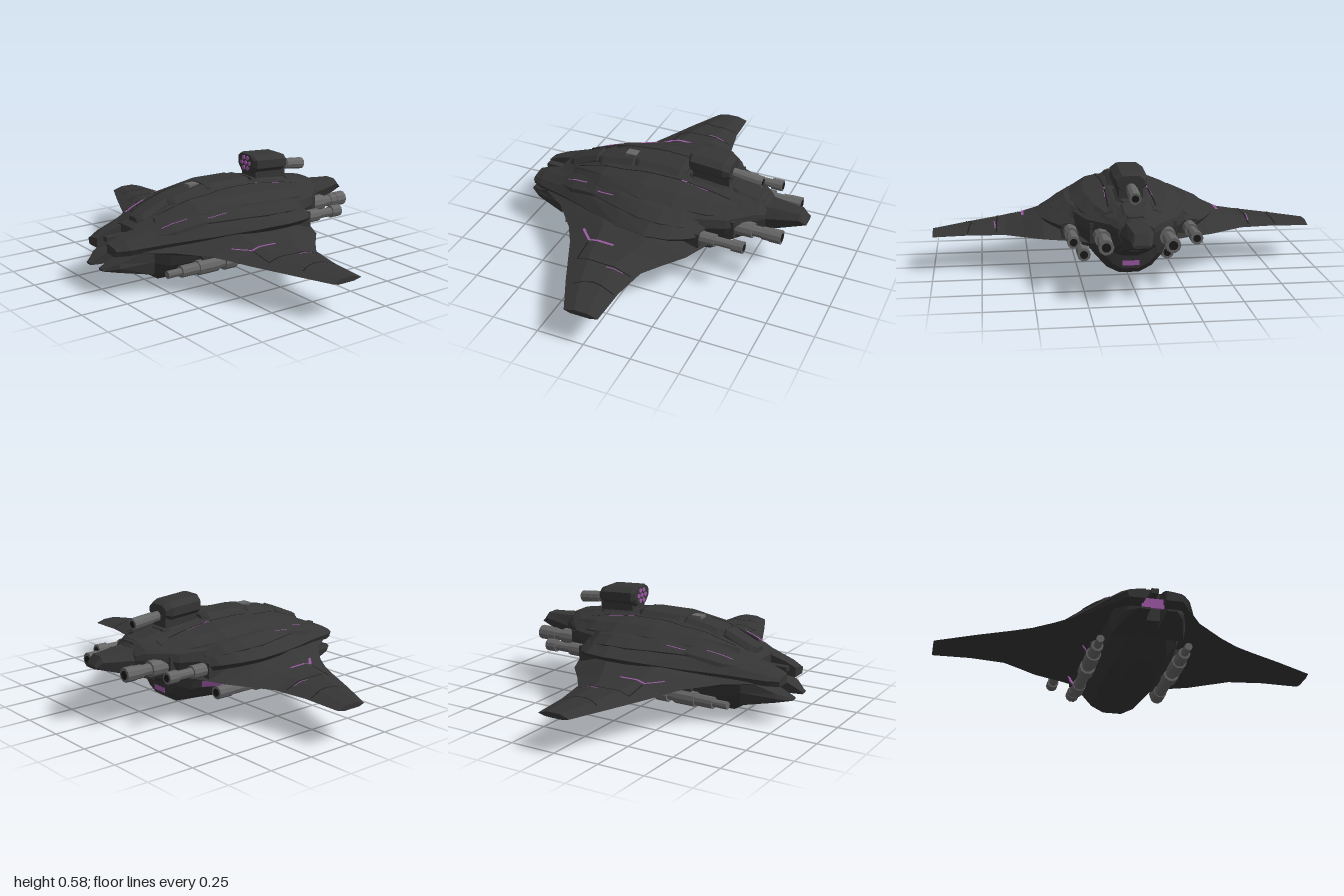
import * as THREE from 'three';

const mat = (name, color, side = THREE.FrontSide) => {
  const m = new THREE.MeshStandardMaterial({ color, side, flatShading: true });
  m.name = name;
  return m;
};

const geometryFrom = points => {
  const g = new THREE.BufferGeometry();
  g.setAttribute('position', new THREE.Float32BufferAttribute(points.flat(), 3));
  g.computeVertexNormals();
  return g;
};

// Skin between equal-length rings, capped at both ends and always facing outward
function loft(rings) {
  const tris = [], n = rings[0].length, last = rings[rings.length - 1];
  for (let i = 0; i < rings.length - 1; i++) {
    for (let j = 0; j < n; j++) {
      const k = (j + 1) % n, a = rings[i], b = rings[i + 1];
      tris.push([a[j], a[k], b[k]], [a[j], b[k], b[j]]);
    }
  }
  for (let j = 1; j < n - 1; j++) {
    tris.push([rings[0][0], rings[0][j + 1], rings[0][j]], [last[0], last[j], last[j + 1]]);
  }
  let volume = 0;
  for (const [a, b, c] of tris) {
    volume += a[0] * (b[1] * c[2] - b[2] * c[1]) + a[1] * (b[2] * c[0] - b[0] * c[2]) + a[2] * (b[0] * c[1] - b[1] * c[0]);
  }
  return geometryFrom(tris.flatMap(t => (volume > 0 ? t : [t[0], t[2], t[1]])));
}

// Half a cross-section of [z, y] points, mirrored into a ring at x
const mirrorRing = (x, half) => [
  ...half.map(([z, y]) => [x, y, z]),
  ...half.slice().reverse().map(([z, y]) => [x, y, -z]),
];

export function createModel() {
  const group = new THREE.Group();
  group.name = 'starship';
  const hull = mat('charcoal hull', 0x353535);
  const dark = mat('black trim', 0x1a1a1a, THREE.DoubleSide);
  const steel = mat('gunmetal', 0x666666);
  const glow = mat('violet glow', 0x9c58a4, THREE.DoubleSide);

  const add = (name, geo, material, parent = group) => {
    const m = new THREE.Mesh(geo, material);
    m.name = name;
    parent.add(m);
    return m;
  };
  const box = (name, w, h, d, x, y, z, material) => {
    const m = add(name, new THREE.BoxGeometry(w, h, d), material);
    m.position.set(x, y, z);
    return m;
  };

  // Upper hull: x, half width, top, bottom
  add('upperHull', loft([
    [-0.6, 0.17, 0.31, 0.2], [-0.45, 0.25, 0.37, 0.18], [-0.3, 0.29, 0.42, 0.17], [-0.1, 0.3, 0.45, 0.17],
    [0.1, 0.3, 0.445, 0.17], [0.28, 0.3, 0.43, 0.18], [0.42, 0.24, 0.41, 0.2], [0.54, 0.13, 0.4, 0.23], [0.58, 0.09, 0.365, 0.26],
  ].map(([x, w, t, b]) => mirrorRing(x, [
    [w * 0.3, t], [w * 0.72, t - (t - b) * 0.16], [w * 0.95, t - (t - b) * 0.3], [w, t - (t - b) * 0.5], [w * 0.8, b],
  ]))), hull);

  // Rounded belly: x, half width, bottom, rim height
  add('belly', loft([
    [-0.66, 0.1, 0.13, 0.2], [-0.58, 0.15, 0.09, 0.23], [-0.45, 0.2, 0.01, 0.24], [-0.2, 0.23, 0.002, 0.24],
    [0.05, 0.23, 0.01, 0.24], [0.3, 0.2, 0.03, 0.24], [0.365, 0.16, 0.07, 0.24], [0.375, 0.15, 0.14, 0.25], [0.54, 0.08, 0.21, 0.28],
  ].map(([x, w, b, t]) => mirrorRing(x, [
    [w * 0.25, b], [w * 0.58, b + (t - b) * 0.16], [w * 0.85, b + (t - b) * 0.45], [w, t - (t - b) * 0.2], [w * 1.05, t],
  ]))), hull);

  // Blunt nose
  add('nose', loft([
    [0.45, 0.1, 0.385, 0.18], [0.58, 0.085, 0.365, 0.23], [0.72, 0.06, 0.355, 0.275], [0.75, 0.055, 0.355, 0.285], [0.785, 0.045, 0.31, 0.295],
  ].map(([x, w, t, b]) => mirrorRing(x, [[w * 0.6, t], [w, t - (t - b) * 0.4], [w * 0.7, b]]))), hull);

  // Raised spine plates: start, end, half width, start height, end height
  const plates = [[-0.56, -0.36, 0.06, 0.35, 0.425], [-0.38, -0.14, 0.085, 0.42, 0.465], [-0.16, 0.13, 0.09, 0.468, 0.47], [0.15, 0.38, 0.09, 0.455, 0.435], [0.39, 0.56, 0.08, 0.425, 0.4]];
  for (const [x0, x1, w, y0, y1] of plates) {
    add('spinePlate', loft([[x0, w * 0.7, y0], [x0 + 0.03, w, y0 + (y1 - y0) * 0.2], [x1 - 0.03, w, y1], [x1, w * 0.7, y1 - 0.01]]
      .map(([x, h, y]) => mirrorRing(x, [[h * 0.65, y], [h, y - 0.025], [h, y - 0.08]]))), hull);
  }
  box('dorsalVent', 0.06, 0.03, 0.05, -0.2, 0.453, 0, steel);

  // Cannon built from [start, end, radius] pieces along x
  const cannon = (name, y, z, pieces, tilt = 0) => {
    const c = new THREE.Group();
    c.name = name;
    for (const [x0, x1, r] of pieces) {
      add('barrelPiece', new THREE.CylinderGeometry(r, r, x1 - x0, 10).rotateZ(-Math.PI / 2), steel, c).position.x = (x0 + x1) / 2;
    }
    const [, tip, r] = pieces[pieces.length - 1];
    add('bore', new THREE.CylinderGeometry(r * 0.6, r * 0.6, 0.004, 10).rotateZ(Math.PI / 2), dark, c).position.x = tip + 0.001;
    c.position.set(0, y, z);
    c.rotation.z = tilt;
    group.add(c);
  };

  for (const s of [1, -1]) {
    // Wing: z, rear x, front x, bottom, edge, top
    add('wing', loft([
      [0.1, -0.66, 0.42, 0.18, 0.23, 0.28], [0.2, -0.62, 0.4, 0.17, 0.22, 0.3], [0.28, -0.5, 0.36, 0.17, 0.22, 0.3], [0.43, -0.37, 0.29, 0.172, 0.215, 0.28],
      [0.53, -0.31, 0.2, 0.174, 0.205, 0.252], [0.62, -0.27, 0.13, 0.175, 0.2, 0.238], [0.8, -0.19, 0.095, 0.177, 0.195, 0.222], [1, -0.095, 0.085, 0.178, 0.188, 0.204],
    ].map(([z, a, b, lo, e, hi]) => {
      const at = t => a + (b - a) * t;
      return [[a, e, s * z], [at(0.3), hi, s * z], [at(0.7), hi, s * z], [b, e, s * z], [at(0.75), lo, s * z], [at(0.2), lo, s * z]];
    })), hull);

    // Shoulder armour sweeping over the wing root: x, outer z, inner top, edge
    add('shoulderArmour', loft([
      [-0.74, 0.14, 0.255, 0.235], [-0.68, 0.18, 0.28, 0.24], [-0.5, 0.25, 0.33, 0.26], [-0.3, 0.34, 0.37, 0.28], [-0.1, 0.43, 0.385, 0.305],
      [0.08, 0.475, 0.39, 0.318], [0.2, 0.45, 0.38, 0.313], [0.28, 0.39, 0.36, 0.3], [0.33, 0.32, 0.34, 0.285],
    ].map(([x, o, t, e]) => [[0.05, t], [0.05 + (o - 0.05) * 0.5, t - 0.005], [0.05 + (o - 0.05) * 0.82, e + (t - e) * 0.5], [o, e], [o * 0.93, e - 0.03], [0.05, e - 0.03]]
      .map(([z, y]) => [x, y, s * z]))), hull);

    // Teardrop plate on top of the shoulder: x, outer z, inner top, edge
    add('shoulderPlate', loft([
      [-0.34, 0.26, 0.372, 0.335], [-0.15, 0.34, 0.395, 0.35], [0, 0.39, 0.4, 0.356], [0.12, 0.4, 0.4, 0.358], [0.22, 0.37, 0.388, 0.345], [0.3, 0.31, 0.37, 0.32],
    ].map(([x, o, t, e]) => [[0.15, t], [o * 0.8, t - 0.008], [o, e], [o * 0.97, e - 0.025], [0.15, e - 0.025]].map(([z, y]) => [x, y, s * z]))), hull);

    // Upper cowl beside the spine
    add('cowl', loft([
      [-0.5, 0.15, 0.345], [-0.3, 0.23, 0.405], [-0.05, 0.28, 0.43], [0.15, 0.29, 0.425], [0.32, 0.25, 0.405], [0.46, 0.18, 0.385],
    ].map(([x, o, t]) => [[0.1, t + 0.015], [o * 0.75, t], [o, t - 0.035], [o, t - 0.06], [0.1, t - 0.06]].map(([z, y]) => [x, y, s * z]))), hull);

    // Forked tail, lower prong
    add('tailProng', loft([
      [-0.785, 0.04, 0.075, 0.125, 0.135], [-0.72, 0.04, 0.13, 0.12, 0.165], [-0.55, 0.03, 0.18, 0.09, 0.23],
    ].map(([x, i, o, b, t]) => [[i, b], [i, t], [o, t], [o + 0.01, (b + t) / 2], [o, b]].map(([z, y]) => [x, y, s * z]))), hull);

    // Nose cannons and their housings
    cannon('innerCannon', 0.28, s * 0.16, [[0.34, 0.55, 0.042], [0.55, 0.6, 0.03], [0.6, 0.64, 0.035], [0.64, 0.7, 0.038]]);
    cannon('outerCannon', 0.268, s * 0.303, [[0.24, 0.4, 0.034], [0.4, 0.49, 0.024], [0.49, 0.55, 0.032]]);
    box('innerHousing', 0.2, 0.1, 0.1, 0.36, 0.285, s * 0.165, hull);
    box('outerHousing', 0.14, 0.08, 0.09, 0.25, 0.265, s * 0.3, hull);
    box('housingLight', 0.035, 0.018, 0.006, 0.385, 0.318, s * 0.235, glow);

    // Slung belly cannon and struts
    cannon('bellyCannon', 0.09, s * 0.22, [
      [-0.5, -0.42, 0.02], [-0.42, -0.32, 0.031], [-0.32, -0.2, 0.039], [-0.2, -0.16, 0.03], [-0.16, -0.09, 0.042], [-0.09, 0.08, 0.031], [0.08, 0.17, 0.036],
    ]);
    for (const x of [-0.26, 0]) box('cannonStrut', 0.06, 0.1, 0.03, x, 0.145, s * 0.215, hull);
  }

  // Glowing ports on the right flank of the belly, facing outward, down and forward
  for (const [w, h, x, y, z] of [[0.1, 0.07, 0.22, 0.172, -0.245], [0.05, 0.03, -0.22, 0.165, -0.25]]) {
    box('flankPort', w, h, 0.006, x, y, z, glow).lookAt(x + 0.4, y - 0.35, z - 0.8);
  }

  // Tail stem with engine glow, and chin light set in the belly's front face
  box('tailStem', 0.14, 0.025, 0.035, -0.65, 0.26, 0, hull);
  box('engineGlow', 0.008, 0.05, 0.11, -0.672, 0.215, 0, glow);
  box('chinLight', 0.008, 0.026, 0.085, 0.368, 0.1, 0, glow);

  // Dorsal turret
  box('turretBase', 0.2, 0.05, 0.12, 0.27, 0.46, 0, hull);
  add('turret', loft([[0.15, 0.065, 0.575, 0.48], [0.165, 0.085, 0.577, 0.472], [0.34, 0.085, 0.565, 0.462], [0.375, 0.07, 0.55, 0.468]]
    .map(([x, w, t, b]) => mirrorRing(x, [[w * 0.6, t], [w, t - 0.025], [w, b + 0.035], [w * 0.55, b]]))), hull);
  cannon('turretCannon', 0.53, 0, [[0.34, 0.42, 0.026], [0.42, 0.46, 0.03], [0.46, 0.535, 0.031]], -0.11);
  for (let i = 0; i < 7; i++) {
    const a = i * Math.PI / 3, r = i < 6 ? 0.032 : 0;
    const port = add('turretPort', new THREE.CylinderGeometry(0.012, 0.012, 0.006, 8).rotateZ(Math.PI / 2), glow);
    port.position.set(0.148, 0.527 + r * Math.sin(a), r * Math.cos(a));
  }

  // Seams draped over the upper surfaces: [material, width, x/z path]
  const targets = [...group.children];
  group.updateMatrixWorld(true);
  const ray = new THREE.Raycaster();
  const drop = (x, z) => {
    ray.set(new THREE.Vector3(x, 2, z), new THREE.Vector3(0, -1, 0));
    return ray.intersectObjects(targets, true)[0].point.y + 0.003;
  };
  const seams = [
    [glow, 0.014, [[-0.27, 0.45], [-0.2, 0.525], [-0.06, 0.53]]],
    [glow, 0.009, [[-0.5, 0.175], [-0.37, 0.21]]],
    [glow, 0.009, [[-0.28, 0.262], [-0.18, 0.285]]],
    [glow, 0.008, [[0.13, 0.11], [0.28, 0.12]]],
    [glow, 0.006, [[-0.03, 0.68], [0.06, 0.675]]],
    [dark, 0.006, [[-0.2, 0.54], [-0.2, 0.66], [0.1, 0.67]]],
    [dark, 0.006, [[-0.13, 0.83], [-0.04, 0.8], [0.08, 0.82]]],
    [dark, 0.007, [[-0.5, 0.1], [-0.2, 0.12], [0.1, 0.11], [0.4, 0.12]]],
  ];
  for (const [material, width, path] of seams) {
    for (const s of [1, -1]) {
      const corners = [];
      for (let i = 0; i < path.length - 1; i++) {
        const [x0, z0] = path[i], [x1, z1] = path[i + 1];
        const half = width / 2 / Math.hypot(x1 - x0, z1 - z0), nx = (z0 - z1) * half, nz = (x1 - x0) * half;
        const edge = t => {
          const x = x0 + (x1 - x0) * t, z = z0 + (z1 - z0) * t, y = drop(x, s * z);
          return [[x + nx, y, s * (z + nz)], [x - nx, y, s * (z - nz)]];
        };
        for (let k = 0; k < 10; k++) {
          const [a, b] = edge(k / 10), [c, d] = edge((k + 1) / 10);
          corners.push(...(s > 0 ? [a, c, b, b, c, d] : [a, b, c, b, d, c]));
        }
      }
      add(material === glow ? 'glowSeam' : 'panelSeam', geometryFrom(corners), material);
    }
  }
  return group;
}
